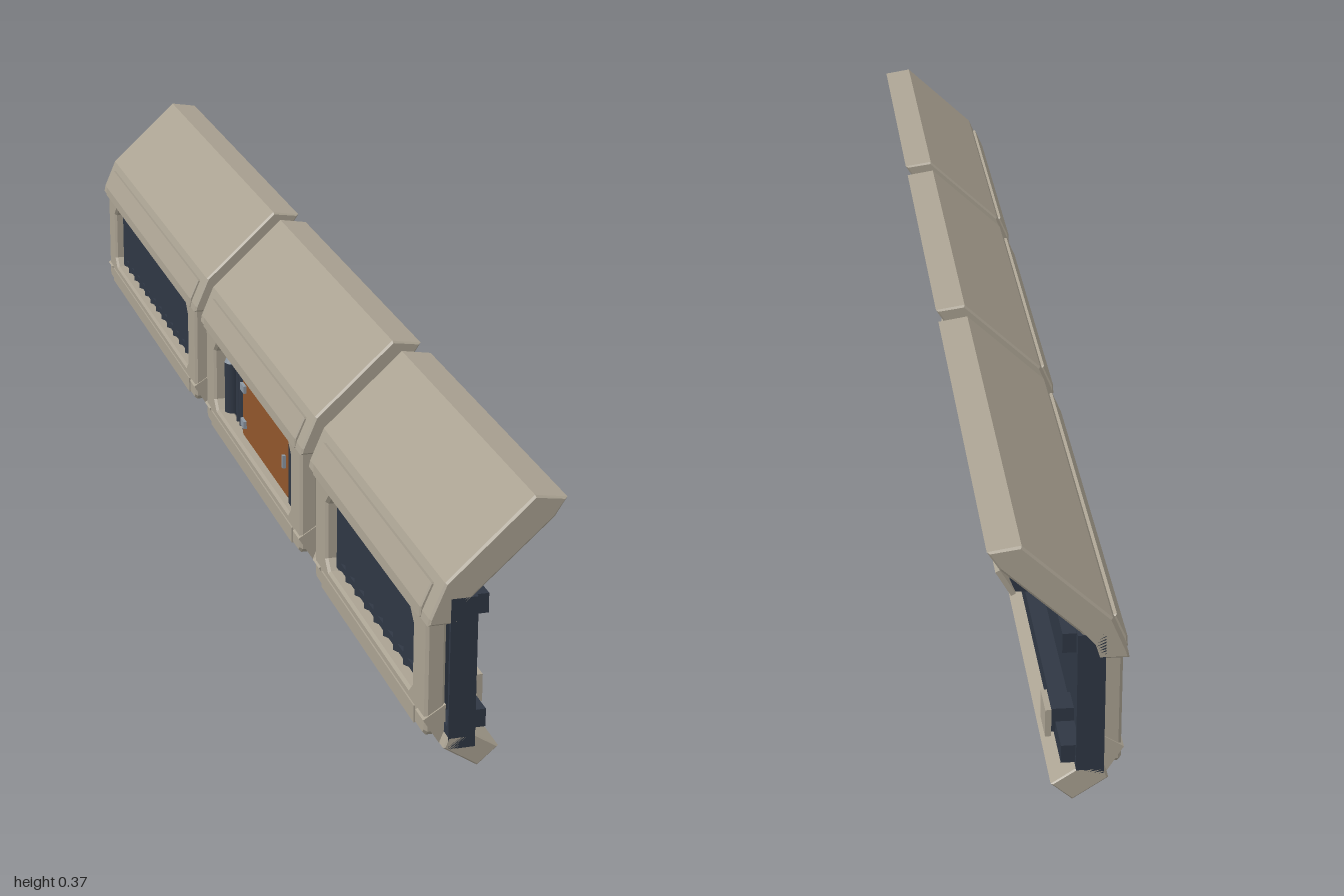
import * as THREE from 'three';

const mat = (name, color) => {
  const m = new THREE.MeshStandardMaterial({ color });
  m.name = name;
  return m;
};

export function createModel() {
  const beige = mat('beige armour', 0xaaa292);
  const dark = mat('dark slate', 0x2f3744);
  const black = mat('dark vent', 0x20252e);
  const rust = mat('rust hatch', 0x91562b);
  const steel = mat('pale steel', 0x8d98a3);

  const add = (parent, name, geo, material) => {
    const m = new THREE.Mesh(geo, material);
    m.name = name;
    parent.add(m);
    return m;
  };
  // box given by its limits on each axis
  const box = (parent, name, material, x0, x1, y0, y1, z0, z1) => {
    const m = add(parent, name, new THREE.BoxGeometry(x1 - x0, y1 - y0, z1 - z0), material);
    m.position.set((x0 + x1) / 2, (y0 + y1) / 2, (z0 + z1) / 2);
    return m;
  };
  const toShape = pts => new THREE.Shape(pts.map(p => new THREE.Vector2(...p)));
  // cross-section in x/y swept along z, with small chamfers inside the profile
  const sweep = (parent, name, material, pts, z0, z1, b = 0) =>
    add(parent, name, new THREE.ExtrudeGeometry(toShape(pts), {
      depth: z1 - z0 - 2 * b, bevelEnabled: b > 0, bevelThickness: b, bevelSize: b, bevelOffset: -b, bevelSegments: 1,
    }).translate(0, 0, z0 + b), material);
  // octagonal outline in the z/y plane
  const octagon = (z0, z1, y0, y1, c) => [
    [z0 + c, y0], [z1 - c, y0], [z1, y0 + c], [z1, y1 - c],
    [z1 - c, y1], [z0 + c, y1], [z0, y1 - c], [z0, y0 + c],
  ];
  // flat z/y outline thickened from x towards -x
  const plate = (parent, name, material, pts, hole, x, depth, b) => {
    const s = toShape(pts);
    if (hole) s.holes.push(new THREE.Path(hole.map(p => new THREE.Vector2(...p))));
    const g = new THREE.ExtrudeGeometry(s, {
      depth: depth - 2 * b, bevelEnabled: true, bevelThickness: b, bevelSize: b, bevelOffset: -b, bevelSegments: 1,
    });
    return add(parent, name, g.rotateY(-Math.PI / 2).translate(x - b, 0, 0), material);
  };

  const canopyProfile = [[-0.09, 0.205], [-0.05, 0.205], [-0.044, 0.224], [-0.028, 0.243], [0.074, 0.336],
    [0.09, 0.361], [0.047, 0.368], [-0.068, 0.262], [-0.088, 0.215]];
  const lipProfile = [[-0.066, 0.032], [-0.02, 0.002], [0.008, 0.026], [-0.024, 0.047], [-0.06, 0.047]];
  const tabProfile = [[-0.088, 0.066], [-0.066, 0.031], [-0.058, 0.031], [-0.058, 0.085]];

  const section = (name, z0, z1) => {
    const g = new THREE.Group();
    g.name = name;
    // armour shell
    sweep(g, 'canopy', beige, canopyProfile, z0, z1, 0.003);
    sweep(g, 'bottomLip', beige, lipProfile, z0, z1, 0.002);
    plate(g, 'windowFrame', beige, octagon(z0 + 0.02, z1 - 0.02, 0.04, 0.21, 0.008),
      octagon(z0 + 0.075, z1 - 0.075, 0.078, 0.19, 0.014), -0.058, 0.027, 0.004);
    // long raised strips above and below the window
    const strip = sweep(g, 'upperStrip', beige,
      [[-0.092, 0.205], [-0.085, 0.205], [-0.07, 0.25], [-0.077, 0.252], [-0.091, 0.22]], z0 + 0.03, z1 - 0.03, 0.002);
    strip.scale.x = 1;
    box(g, 'lowerStrip', beige, -0.087, -0.07, 0.042, 0.066, z0 + 0.06, z1 - 0.06);

    // dark inner structure
    box(g, 'backPanel', dark, -0.05, -0.034, 0.05, 0.23, z0 + 0.05, z1 - 0.05);
    box(g, 'topBeam', dark, -0.06, -0.024, 0.213, 0.24, z0, z1);
    box(g, 'bottomBeam', dark, -0.06, -0.024, 0.03, 0.06, z0, z1);
    box(g, 'topRail', dark, -0.024, -0.006, 0.21, 0.237, z0 + 0.012, z1 - 0.012);
    box(g, 'bottomRail', dark, -0.03, -0.006, 0.05, 0.075, z0 + 0.012, z1 - 0.012);

    // mirrored end parts: e is the end, s points inward
    for (const [e, s] of [[z0, 1], [z1, -1]]) {
      const span = (a, b) => [e + s * a, e + s * b].sort((p, q) => p - q);
      box(g, 'endPlate', dark, -0.06, -0.024, 0.03, 0.24, ...span(0, 0.005));
      sweep(g, 'cornerTab', beige, tabProfile, ...span(0.018, 0.05));
      box(g, 'lowerClipBase', dark, -0.03, 0, 0.06, 0.094, ...span(0.072, 0.113));
      box(g, 'lowerClip', beige, 0, 0.008, 0.057, 0.096, ...span(0.066, 0.119));
      sweep(g, 'upperClipBase', dark,
        [[0, 0.265], [0.047, 0.268], [0.054, 0.285], [0.054, 0.303], [0.036, 0.303]], ...span(0.072, 0.113));
      sweep(g, 'upperClip', beige,
        [[0.047, 0.268], [0.053, 0.265], [0.073, 0.299], [0.067, 0.302]], ...span(0.066, 0.119));
    }
    return g;
  };

  // slanted vent fins behind a window
  const addGrille = (g, z0, z1) => {
    const a = z0 + 0.075, b = z1 - 0.075, n = Math.round((b - a) / 0.045);
    box(g, 'ventBack', black, -0.053, -0.048, 0.075, 0.195, a, b);
    for (let i = 0; i < n; i++) {
      const fin = add(g, 'ventFin', new THREE.BoxGeometry(0.006, 0.12, 0.03), dark);
      fin.position.set(-0.062, 0.134, a + (i + 0.5) * (b - a) / n);
      fin.rotation.y = 0.5;
    }
    for (const y of [0.085, 0.185]) box(g, 'ventRail', dark, -0.068, -0.05, y - 0.005, y + 0.005, a, b);
  };

  // equipment bay with hatch, canister and pipes
  const addBay = (g, z0, z1) => {
    box(g, 'bayBack', black, -0.054, -0.048, 0.07, 0.2, z0 + 0.07, z1 - 0.07);
    plate(g, 'hatch', rust, octagon(0, 0.275, 0.08, 0.189, 0.004), null, -0.052, 0.02, 0.002);
    box(g, 'bayPost', dark, -0.074, -0.05, 0.075, 0.195, 0.285, 0.325);
    for (const y of [0.105, 0.165]) box(g, 'hatchHinge', steel, -0.077, -0.068, y - 0.006, y + 0.006, 0.004, 0.026);
    box(g, 'hatchHandle', steel, -0.077, -0.07, 0.125, 0.145, 0.255, 0.262);
    const can = add(g, 'canister', new THREE.CylinderGeometry(0.014, 0.014, 0.085, 16), dark);
    can.position.set(-0.062, 0.125, -0.1);
    const cap = add(g, 'canisterCap', new THREE.CylinderGeometry(0.008, 0.014, 0.015, 16), steel);
    cap.position.set(-0.062, 0.175, -0.1);
    for (const z of [-0.065, -0.045, -0.025]) {
      const pipe = add(g, 'pipe', new THREE.CylinderGeometry(0.006, 0.006, 0.12, 10), dark);
      pipe.position.set(-0.06, 0.135, z);
    }
  };

  const model = new THREE.Group();
  model.name = 'wallPanels';
  const long = section('longSection', -1, -0.25);
  addGrille(long, -1, -0.25);
  const middle = section('middleSection', -0.21, 0.41);
  addBay(middle, -0.21, 0.41);
  const short = section('shortSection', 0.45, 1);
  addGrille(short, 0.45, 1);
  model.add(long, middle, short);
  return model;
}
